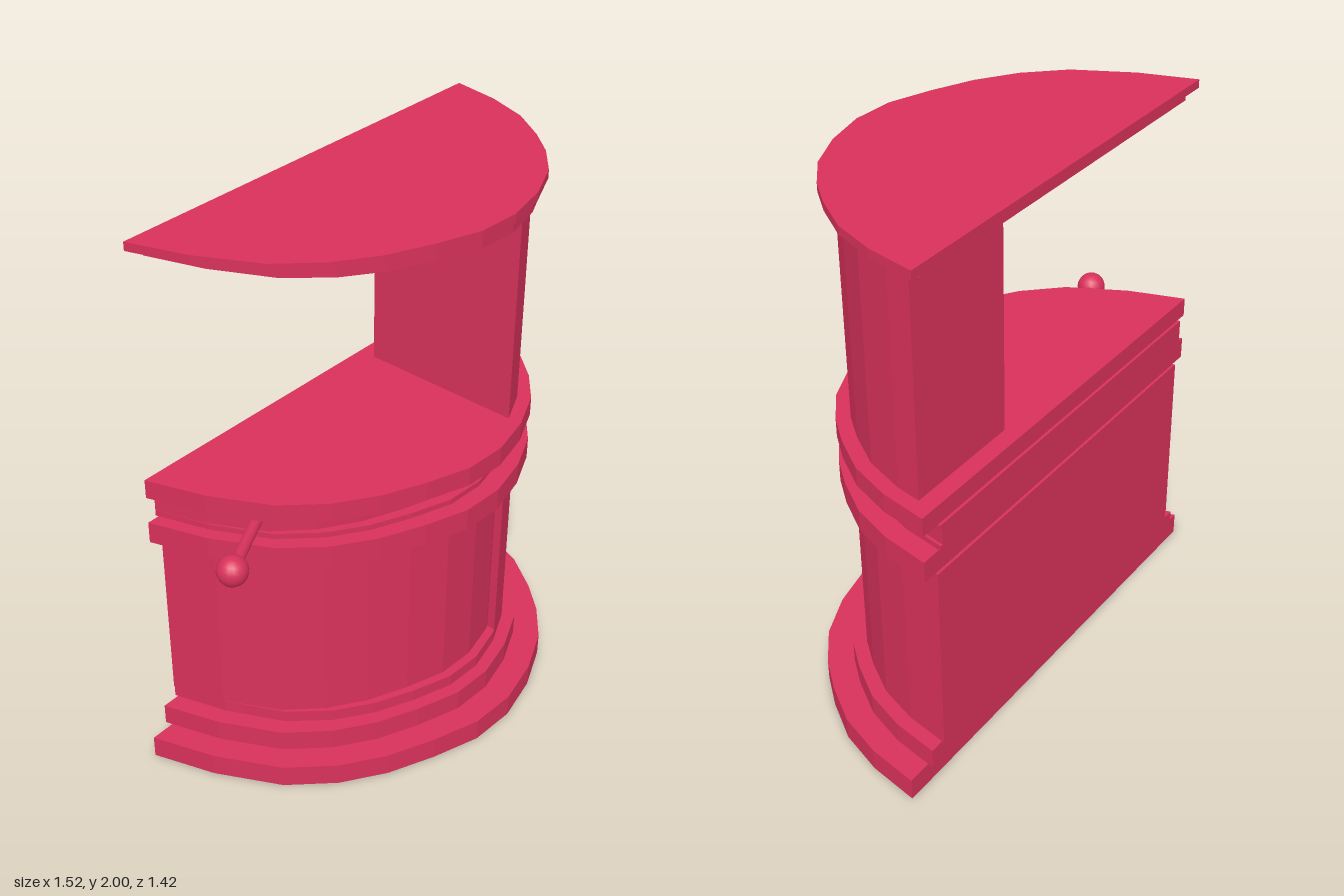
import * as THREE from 'three';

// Half-round footprint: [along the flat back, out towards the curved front]
const OUTLINE = [
  [-0.867, 0], [-0.791, 0.219], [-0.672, 0.44], [-0.537, 0.577], [-0.387, 0.676],
  [-0.221, 0.748], [-0.05, 0.806], [0.122, 0.814], [0.299, 0.774], [0.464, 0.701],
  [0.585, 0.603], [0.676, 0.499], [0.772, 0.358], [0.833, 0.19], [0.867, 0],
];
const TURN = 0.665;  // the flat back runs diagonally
const SPLIT = 0.305; // where the door ends and the pillar begins

// Footprint scaled in width and depth, then placed
const outline = (width, depth, centre, back) =>
  OUTLINE.map(([u, n]) => [u * width + centre, n * depth + back]);

// Keep the part of a footprint where sign * p[axis] >= sign * limit
function clip(points, axis, limit, sign) {
  const out = [];
  points.forEach((a, i) => {
    const b = points[(i + 1) % points.length];
    const da = sign * (a[axis] - limit), db = sign * (b[axis] - limit);
    if (da >= 0) out.push(a);
    if (da * db < 0) {
      const t = da / (da - db);
      out.push([a[0] + t * (b[0] - a[0]), a[1] + t * (b[1] - a[1])]);
    }
  });
  return out;
}

export function createModel() {
  const model = new THREE.Group();
  model.name = 'halfRoundStand';
  const red = new THREE.MeshStandardMaterial({ color: 0xd8315b });
  red.name = 'crimson';

  const stand = new THREE.Group();
  stand.name = 'stand';
  stand.rotation.y = TURN;
  model.add(stand);

  // Upright slab of a footprint between two heights
  function slab(name, points, y0, y1) {
    const shape = new THREE.Shape(points.map(([u, n]) => new THREE.Vector2(u, -n)));
    const geometry = new THREE.ExtrudeGeometry(shape, { depth: y1 - y0, bevelEnabled: false });
    geometry.rotateX(-Math.PI / 2);
    const mesh = new THREE.Mesh(geometry, red);
    mesh.name = name;
    mesh.position.y = y0;
    stand.add(mesh);
  }

  const ledge = outline(0.9025, 0.913, 0.04, -0.213);
  const body = outline(0.836, 0.87, 0.045, -0.223);
  const door = outline(0.836, 0.83, 0.042, -0.223);
  const rim = outline(0.836, 0.85, 0.025, -0.223);

  // Stepped foot
  slab('base', outline(1, 1, 0.043, -0.189), 0, 0.085);
  slab('plinth', ledge, 0.085, 0.165);

  // Cabinet with a recessed door on its left part
  slab('sill', body, 0.165, 0.21);
  slab('door', clip(door, 0, SPLIT, -1), 0.21, 0.9);
  slab('cabinetSide', clip(body, 0, SPLIT, 1), 0.21, 0.9);
  slab('cabinetLedge', ledge, 0.9, 0.98);

  // Grooved band that carries the lever
  slab('lowerRim', rim, 0.98, 1.0);
  slab('groove', outline(0.83, 0.8, 0.02, -0.223), 1.0, 1.065);
  slab('upperRim', rim, 1.065, 1.08);
  slab('counter', ledge, 1.08, 1.15);

  // Pillar and roof
  slab('pillar', clip(clip(body, 0, SPLIT, 1), 1, -0.15, 1), 1.15, 1.94);
  slab('roofUnderside', outline(0.836, 0.89, 0.037, -0.195), 1.94, 1.97);
  slab('roof', ledge, 1.97, 2);

  // Lever with a ball knob
  const start = new THREE.Vector3(-0.355, 1.04, 0.37);
  const end = new THREE.Vector3(-0.485, 1.04, 0.655);
  const rod = new THREE.Mesh(
    new THREE.CylinderGeometry(0.02, 0.02, start.distanceTo(end), 12), red);
  rod.name = 'leverRod';
  rod.position.lerpVectors(start, end, 0.5);
  rod.quaternion.setFromUnitVectors(
    new THREE.Vector3(0, 1, 0), end.clone().sub(start).normalize());
  const knob = new THREE.Mesh(new THREE.SphereGeometry(0.052, 16, 12), red);
  knob.name = 'leverKnob';
  knob.position.copy(end);
  model.add(rod, knob);

  return model;
}
